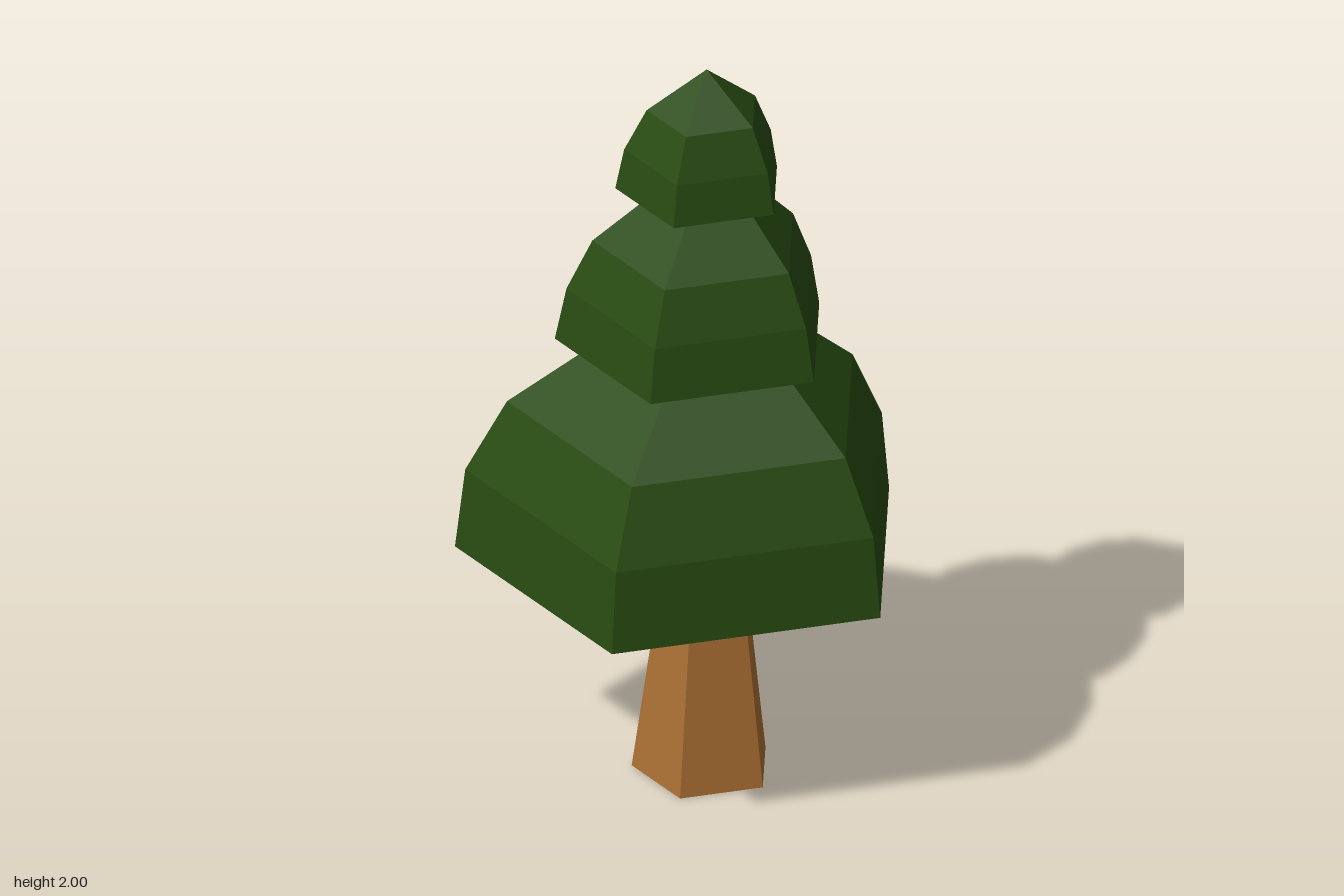
import * as THREE from 'three';

const SIDES = 5;
const SPAN = 1 + Math.cos(Math.PI / SIDES); // x extent of a unit pentagon

// Pentagonal ring with a corner towards +x, centred by its x extent
function ring([y, halfWidth]) {
  const r = (2 * halfWidth) / SPAN;
  const cx = halfWidth === 0 ? -0.014 : halfWidth - r - 0.002;
  return Array.from({ length: SIDES }, (_, i) => {
    const a = (i / SIDES) * Math.PI * 2;
    return [cx + r * Math.cos(a), y, r * Math.sin(a)];
  });
}

// Faceted body through [height, half width] rings, closed at the bottom
function facetedBody(name, profile, material) {
  const rings = profile.map(ring);
  const pos = [];
  const tri = (a, b, c) => pos.push(...a, ...b, ...c);
  for (let i = 0; i < SIDES; i++) {
    const j = (i + 1) % SIDES;
    for (let k = 0; k < rings.length - 1; k++) {
      const lo = rings[k], hi = rings[k + 1];
      tri(lo[i], hi[i], lo[j]);
      if (profile[k + 1][1] > 0) tri(lo[j], hi[i], hi[j]);
    }
    if (i > 0 && i < SIDES - 1) tri(rings[0][0], rings[0][i], rings[0][j]);
  }
  const geo = new THREE.BufferGeometry();
  geo.setAttribute('position', new THREE.Float32BufferAttribute(pos, 3));
  geo.computeVertexNormals(); // unshared corners give flat facets
  const mesh = new THREE.Mesh(geo, material);
  mesh.name = name;
  return mesh;
}

export function createModel() {
  const bark = new THREE.MeshStandardMaterial({ color: 0xab7033 });
  bark.name = 'bark brown';
  const needles = new THREE.MeshStandardMaterial({ color: 0x284b11 });
  needles.name = 'needle green';

  const tree = new THREE.Group();
  tree.name = 'tree';
  tree.add(
    // Tapered trunk
    facetedBody('trunk', [[0, 0.168], [0.61, 0.097]], bark),
    // Three bell-shaped tiers of foliage
    facetedBody('lowerFoliage', [[0.608, 0.545], [0.83, 0.523], [1.03, 0.434], [1.217, 0.232]], needles),
    facetedBody('middleFoliage', [[1.215, 0.332], [1.36, 0.307], [1.5, 0.252], [1.625, 0.137]], needles),
    facetedBody('topFoliage', [[1.625, 0.137], [1.653, 0.203], [1.765, 0.184], [1.88, 0.136], [2, 0]], needles),
  );
  return tree;
}
